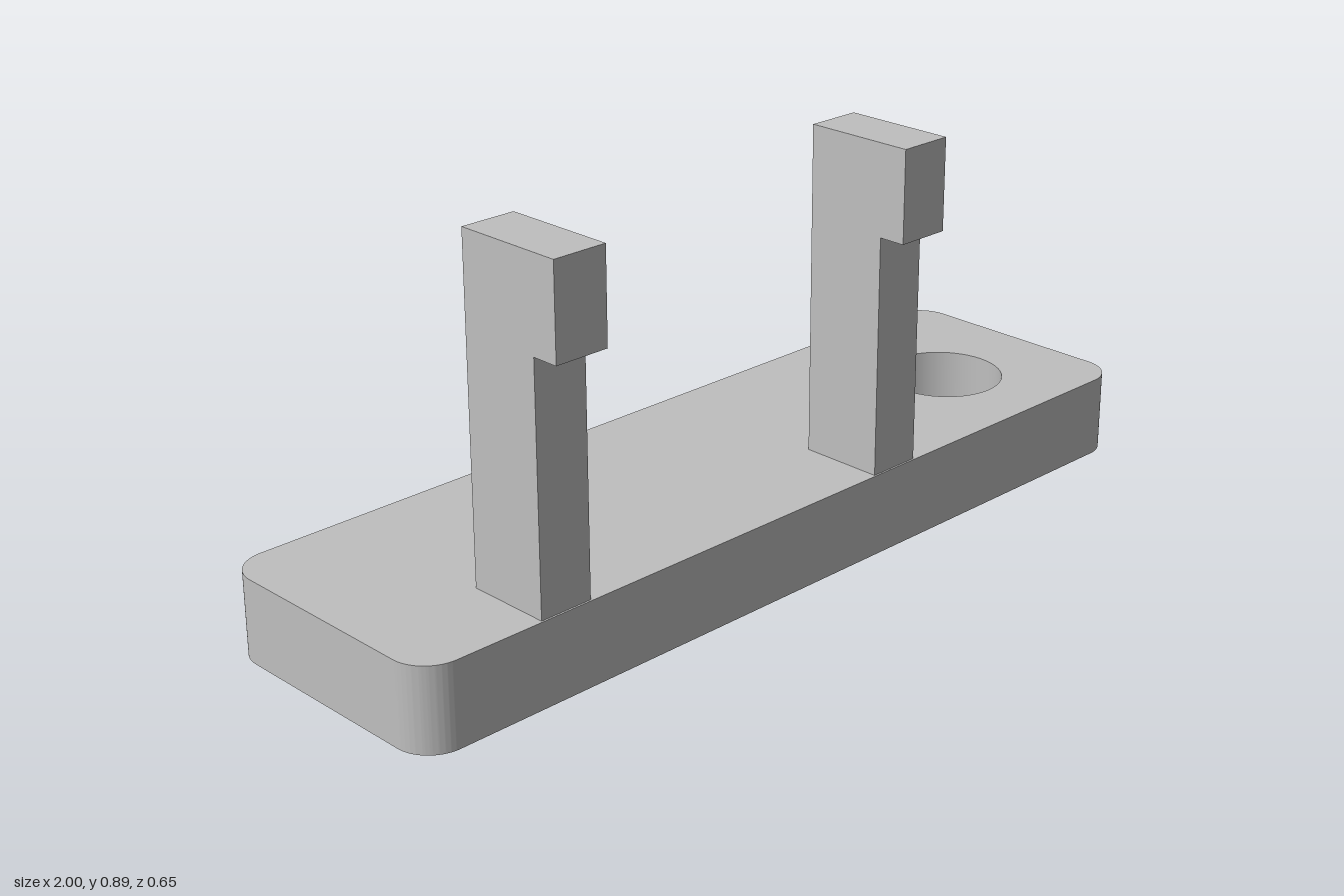
import * as THREE from 'three';
import { toCreasedNormals } from 'three/addons/utils/BufferGeometryUtils.js';

const PLATE_HEIGHT = 0.18;
const HOOK_WIDTH = 0.12;

// Rounded plate with a round through-hole; shape y becomes -z
function plateGeometry() {
  const x0 = -1, x1 = 1, y0 = -0.27, y1 = 0.325, r = 0.08;
  const shape = new THREE.Shape();
  shape.absarc(x1 - r, y0 + r, r, -Math.PI / 2, 0);
  shape.absarc(x1 - r, y1 - r, r, 0, Math.PI / 2);
  shape.absarc(x0 + r, y1 - r, r, Math.PI / 2, Math.PI);
  shape.absarc(x0 + r, y0 + r, r, Math.PI, Math.PI * 1.5);
  shape.closePath();
  const hole = new THREE.Path();
  hole.absarc(0.705, -0.005, 0.133, 0, Math.PI * 2, true);
  shape.holes.push(hole);
  const geometry = new THREE.ExtrudeGeometry(shape, {
    depth: PLATE_HEIGHT, bevelEnabled: false, curveSegments: 24,
  });
  geometry.rotateX(-Math.PI / 2);
  return toCreasedNormals(geometry, 0.5);
}

// Upright post with a forward lip; profile is (z, y), extruded along x
function hookGeometry() {
  const profile = [
    [0.08, PLATE_HEIGHT], [0.266, PLATE_HEIGHT], [0.266, 0.695],
    [0.325, 0.695], [0.325, 0.89], [0.08, 0.89],
  ].map(([z, y]) => new THREE.Vector2(z, y));
  const geometry = new THREE.ExtrudeGeometry(new THREE.Shape(profile), {
    depth: HOOK_WIDTH, bevelEnabled: false,
  });
  geometry.translate(0, 0, -HOOK_WIDTH / 2);
  geometry.rotateY(-Math.PI / 2);
  return geometry;
}

export function createModel() {
  const group = new THREE.Group();
  group.name = 'hookBracket';
  const grey = new THREE.MeshStandardMaterial({ color: 0xbfbfbf });
  grey.name = 'grey';

  const plate = new THREE.Mesh(plateGeometry(), grey);
  plate.name = 'basePlate';
  group.add(plate);

  // Two identical hooks
  const geometry = hookGeometry();
  for (const [name, x] of [['rightHook', -0.66], ['middleHook', 0.243]]) {
    const hook = new THREE.Mesh(geometry, grey);
    hook.name = name;
    hook.position.x = x;
    group.add(hook);
  }
  return group;
}
